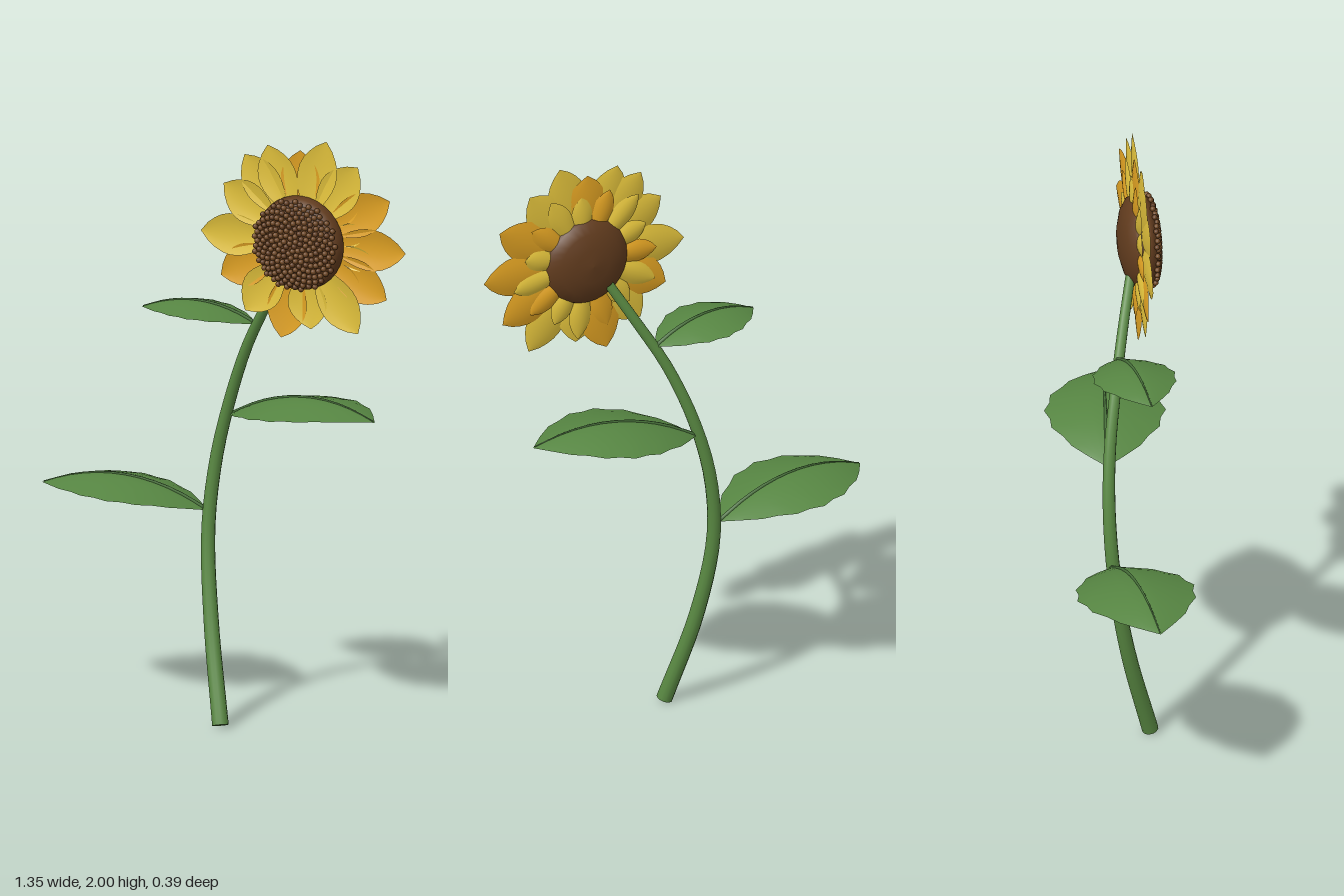
import * as THREE from 'three';

const mat = (name, color, side = THREE.DoubleSide) => {
  const m = new THREE.MeshStandardMaterial({ color, side });
  m.name = name;
  return m;
};
const V = (x, y, z) => new THREE.Vector3(x, y, z);

// Curved surface from a rule: t runs along the length, s from -1 to 1 across.
function sheet(rows, cols, rule) {
  const pos = [], index = [];
  for (let i = 0; i <= rows; i++) {
    for (let j = 0; j <= cols; j++) {
      pos.push(...rule(i / rows, (j / cols) * 2 - 1, i).toArray());
      if (i < rows && j < cols) {
        const a = i * (cols + 1) + j, b = a + cols + 1;
        index.push(a, b, a + 1, b, b + 1, a + 1);
      }
    }
  }
  const g = new THREE.BufferGeometry();
  g.setAttribute('position', new THREE.Float32BufferAttribute(pos, 3));
  g.setIndex(index);
  g.computeVertexNormals();
  return g;
}

// Tube whose radius changes evenly from r0 to r1.
function taperedTube(curve, steps, sides, r0, r1) {
  const g = new THREE.TubeGeometry(curve, steps, 1, sides);
  const p = g.attributes.position, v = V(0, 0, 0);
  for (let i = 0; i < p.count; i++) {
    const u = Math.floor(i / (sides + 1)) / steps;
    const c = curve.getPointAt(u);
    v.fromBufferAttribute(p, i).sub(c).multiplyScalar(r0 + (r1 - r0) * u).add(c);
    p.setXYZ(i, v.x, v.y, v.z);
  }
  return g;
}

export function createModel() {
  const root = new THREE.Group();
  const stemGreen = mat('stem green', 0x5a8a43);
  const leafGreen = mat('leaf green', 0x568542);
  const veinGreen = mat('vein green', 0x47703a);
  const yellow = mat('petal yellow', 0xe2c23c);
  const amber = mat('petal amber', 0xe0a223);
  const brown = mat('disc brown', 0x623c1e);
  const seedBrown = mat('seed brown', 0x704722, THREE.FrontSide);

  const add = (parent, name, geometry, material) => {
    const m = new THREE.Mesh(geometry, material);
    m.name = name;
    parent.add(m);
    return m;
  };

  // Stem with a closed foot
  const stemCurve = new THREE.CatmullRomCurve3([
    V(0.004, 0.008, 0.108), V(-0.07, 0.33, 0.025), V(-0.105, 0.62, -0.025),
    V(-0.085, 0.85, -0.04), V(-0.03, 1.06, -0.03), V(0.05, 1.26, 0.003),
    V(0.14, 1.42, 0.04), V(0.225, 1.565, 0.078),
  ]);
  add(root, 'stem', taperedTube(stemCurve, 28, 12, 0.027, 0.016), stemGreen);
  const foot = add(root, 'stemFoot', new THREE.CircleGeometry(0.027, 12), stemGreen);
  foot.position.copy(stemCurve.getPointAt(0));
  foot.quaternion.setFromUnitVectors(V(0, 0, 1), stemCurve.getTangentAt(0).negate());

  // Arched leaves with toothed edges and a raised midrib
  function leaf(name, base, tip, half, arch, droop) {
    const g = new THREE.Group();
    g.name = name;
    root.add(g);
    const rib = (t) => {
      const p = base.clone().lerp(tip, t);
      p.y += arch * 4 * t * (1 - t);
      return p;
    };
    const across = V(base.z - tip.z, 0, tip.x - base.x).normalize();
    if (across.z < 0) across.negate();
    add(g, 'leafBlade', sheet(12, 8, (t, s, i) => {
      const sin = Math.max(0, Math.sin(Math.PI * t));
      const tooth = 1 + (i % 2 ? -0.04 : 0.03) * Math.abs(s) ** 4;
      const p = rib(t).addScaledVector(across, s * half * Math.pow(sin, 0.82) * tooth);
      p.y -= droop * sin * Math.abs(s) ** 1.4;
      return p;
    }), leafGreen);
    const pts = [0, 0.2, 0.4, 0.6, 0.8, 0.99].map((t) => rib(t).add(V(0, 0.001, 0)));
    add(g, 'midrib', taperedTube(new THREE.CatmullRomCurve3(pts), 12, 6, 0.007, 0.002), veinGreen);
  }
  leaf('lowerLeaf', V(-0.115, 0.68, -0.04), V(-0.675, 0.73, 0.035), 0.192, 0.072, 0.042);
  leaf('middleLeaf', V(-0.035, 1.01, -0.04), V(0.525, 1.06, 0.035), 0.192, 0.072, 0.042);
  leaf('upperLeaf', V(0.09, 1.335, 0.012), V(-0.3, 1.365, 0.066), 0.134, 0.05, 0.03);

  // Flower head faces +z
  const flower = new THREE.Group();
  flower.name = 'flowerHead';
  flower.position.set(0.295, 1.655, 0);
  root.add(flower);

  function petal(name, degrees, length, half, z, material) {
    const start = 0.1;
    const g = sheet(10, 6, (t, s) => {
      const w = half * (0.3 * (1 - t) + Math.pow(Math.max(0, Math.sin(Math.PI * Math.pow(t, 1.25))), 0.8));
      const cup = 0.012 * s * s * Math.sin(Math.PI * t);
      return V(start + (length - start) * t, -s * w, cup - 0.006 * Math.sin(Math.PI * t));
    });
    const m = add(flower, name, g, material);
    m.rotation.z = THREE.MathUtils.degToRad(degrees);
    m.position.z = z;
  }

  // Outer petals: angle, length, 1 for amber
  [
    [0, 0.375, 1], [28, 0.36, 1], [53, 0.34, 0], [75, 0.358, 0], [91, 0.305, 1],
    [111, 0.335, 0], [127, 0.34, 0], [149, 0.325, 0], [180, 0.362, 0], [206, 0.325, 1],
    [231, 0.322, 0], [257, 0.337, 1], [277, 0.29, 0], [306, 0.352, 0], [332, 0.347, 1],
  ].forEach(([a, len, isAmber], i) =>
    petal('outerPetal', a, len, 0.062, isAmber ? 0.102 : 0.107 + (i % 2) * 0.003, isAmber ? amber : yellow));

  // Small inner petals behind
  for (let i = 0; i < 15; i++) {
    petal('innerPetal', i * 24 + 13, 0.235 + 0.02 * (i % 3), 0.035, 0.094, i % 3 === 1 ? amber : yellow);
  }

  // Disc: rounded back, nearly flat front
  const profile = [
    [0, 0.047], [0.06, 0.052], [0.11, 0.066], [0.143, 0.088], [0.156, 0.112],
    [0.152, 0.138], [0.138, 0.157], [0.08, 0.168], [0, 0.172],
  ].map(([r, z]) => new THREE.Vector2(r, z));
  const disc = new THREE.LatheGeometry(profile, 32);
  disc.rotateX(Math.PI / 2);
  add(flower, 'disc', disc, brown);

  // Seeds in a sunflower spiral
  const count = 210;
  const seeds = new THREE.Group();
  seeds.name = 'seeds';
  flower.add(seeds);
  const seedShape = new THREE.IcosahedronGeometry(0.0095, 1);
  for (let i = 0; i < count; i++) {
    const r = 0.15 * Math.sqrt((i + 0.5) / count), a = i * 2.39996;
    const z = 0.174 - 0.02 * Math.pow(r / 0.15, 4);
    const seed = add(seeds, 'seed', seedShape, i % 4 === 0 ? brown : seedBrown);
    seed.position.set(r * Math.cos(a), r * Math.sin(a), z);
  }
  return root;
}
